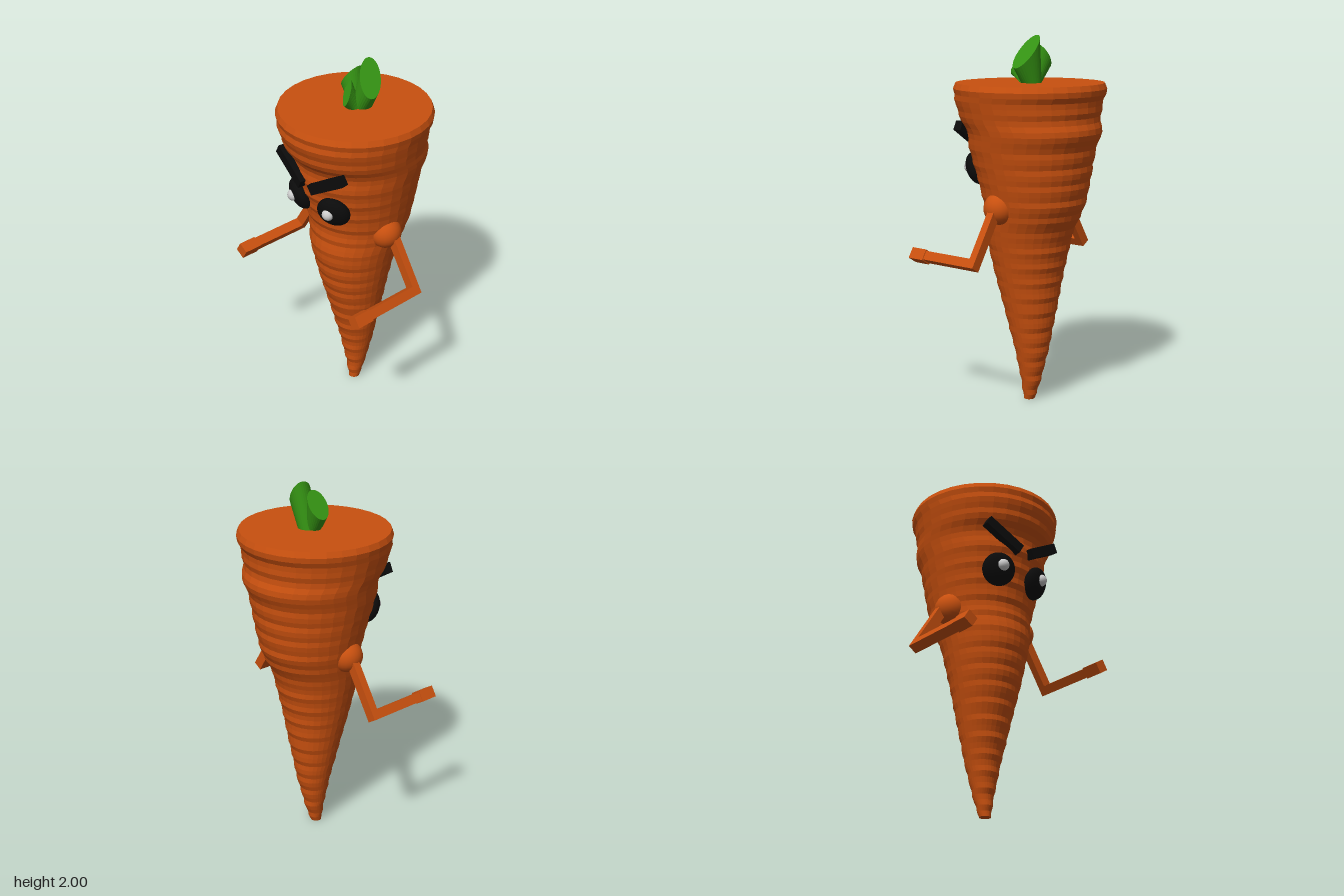
import * as THREE from 'three';

const mat = (color, flatShading = false) => new THREE.MeshStandardMaterial({ color, flatShading });
const orange = mat(0xc8500f, true);
const skin = mat(0xc8500f);
const green = mat(0x369614, true);
const black = mat(0x0b0b0b);
const white = mat(0xcccccc);

function add(parent, name, geometry, material, x = 0, y = 0, z = 0) {
  const mesh = new THREE.Mesh(geometry, material);
  mesh.name = name;
  mesh.position.set(x, y, z);
  parent.add(mesh);
  return mesh;
}

// Sideways drift of the body rings: [height, x offset]
const drift = [[0, 0], [0.1, 0.014], [0.2, 0.016], [0.3, 0.02], [0.4, 0.014], [0.53, 0.01],
  [0.72, 0], [0.95, 0], [1.02, 0.02], [1.1, 0.04], [1.25, 0.035], [1.33, 0.028],
  [1.44, 0.024], [1.485, 0.046], [1.55, 0.01], [1.65, -0.002], [1.7, 0.006], [1.75, 0.006]];

function driftAt(y) {
  for (let i = 1; i < drift.length; i++) {
    const [y0, x0] = drift[i - 1], [y1, x1] = drift[i];
    if (y <= y1 + 1e-6) return x0 + (x1 - x0) * (y - y0) / (y1 - y0);
  }
  return drift[drift.length - 1][1];
}

// Tapered body: straight cone whose rings are shifted along x
function bodyGeometry() {
  const points = [new THREE.Vector2(0, 0)];
  const rings = 60;
  for (let i = 0; i <= rings; i++) {
    const y = 1.72 * i / rings;
    points.push(new THREE.Vector2(0.03 + 0.221 * y, y));
  }
  points.push(new THREE.Vector2(0.398, 1.75), new THREE.Vector2(0, 1.75));
  const geometry = new THREE.LatheGeometry(points, 32);
  const p = geometry.attributes.position;
  for (let i = 0; i < p.count; i++) {
    const y = p.getY(i);
    const ripple = y > 0.02 && y < 1.7 ? 0.004 * Math.sin(y * 75) : 0;
    p.setX(i, p.getX(i) + driftAt(y) + ripple);
  }
  return geometry;
}

// Stalk flaring from a round base to a slanted oval end spanned by u and v
function stalkGeometry(base, radius, tip, u, v) {
  const B = new THREE.Vector3(...base), T = new THREE.Vector3(...tip);
  const U = new THREE.Vector3(...u), V = new THREE.Vector3(...v);
  const bu = new THREE.Vector3(U.x, 0, U.z).normalize();
  const bv = bu.clone().cross(new THREE.Vector3(0, 1, 0));
  const geometry = new THREE.CylinderGeometry(1, 1, 1, 32);
  const p = geometry.attributes.position;
  const q = new THREE.Vector3();
  for (let i = 0; i < p.count; i++) {
    const x = p.getX(i), z = p.getZ(i);
    if (p.getY(i) > 0) q.copy(T).addScaledVector(U, x).addScaledVector(V, z);
    else q.copy(B).addScaledVector(bu, x * radius).addScaledVector(bv, z * radius);
    p.setXYZ(i, q.x, q.y, q.z);
  }
  geometry.computeVertexNormals();
  return geometry;
}

// Arm on one side: shoulder ball, slanted upper arm, forearm and hand reaching along -x
function makeArm(side) {
  const arm = new THREE.Group();
  arm.name = side > 0 ? 'leftArm' : 'rightArm';
  add(arm, 'shoulder', new THREE.SphereGeometry(0.086, 24, 16), skin, 0, 1.1, side * 0.243);
  const lower = new THREE.Group();
  lower.name = 'armSegments';
  lower.position.set(0, 0.83, side * 0.457);
  lower.rotation.x = -side * 0.56;
  add(lower, 'upperArm', new THREE.BoxGeometry(0.042, 0.36, 0.054), orange, 0.008, 0.155, 0);
  add(lower, 'forearm', new THREE.BoxGeometry(0.36, 0.05, 0.054), orange, -0.151, 0, 0);
  add(lower, 'hand', new THREE.BoxGeometry(0.1, 0.062, 0.062), orange, -0.375, 0, 0);
  arm.add(lower);
  return arm;
}

// Eye, highlight and slanted brow on one side of the face
function makeEye(side) {
  const group = new THREE.Group();
  group.name = side > 0 ? 'leftEye' : 'rightEye';
  const eye = add(group, 'eyeball', new THREE.SphereGeometry(1, 28, 20), black, -0.262, 1.28, side * 0.13);
  eye.scale.set(0.052, 0.09, 0.09);
  eye.rotation.set(0, side * 0.42, 0.35, 'YXZ');
  add(group, 'highlight', new THREE.SphereGeometry(0.033, 20, 14), white, -0.306, 1.285, side * 0.136);

  const inner = new THREE.Vector3(-0.325, 1.4, side * 0.035);
  const outer = new THREE.Vector3(-0.295, 1.52, side * 0.24);
  const middle = inner.clone().add(outer).multiplyScalar(0.5);
  const brow = add(group, 'brow', new THREE.BoxGeometry(0.045, 0.055, inner.distanceTo(outer)),
    black, middle.x, middle.y, middle.z);
  brow.lookAt(outer);
  return group;
}

export function createModel() {
  const model = new THREE.Group();
  model.name = 'carrotFigure';
  add(model, 'body', bodyGeometry(), orange);

  // Three cut stalks on top
  add(model, 'frontStalk', stalkGeometry([0.035, 1.74, 0.02], 0.052,
    [0.042, 1.915, 0.075], [-0.066, -0.015, 0], [0.02, 0.085, -0.055]), green);
  add(model, 'backStalk', stalkGeometry([0.025, 1.74, -0.01], 0.035,
    [0.035, 1.888, -0.055], [0.06, 0, 0], [0, 0.068, 0.048]), green);
  add(model, 'sideStalk', stalkGeometry([-0.005, 1.74, 0.01], 0.035,
    [-0.047, 1.84, 0], [0.025, 0, -0.045], [0.04, 0.058, -0.015]), green);

  for (const side of [1, -1]) model.add(makeArm(side), makeEye(side));
  return model;
}
